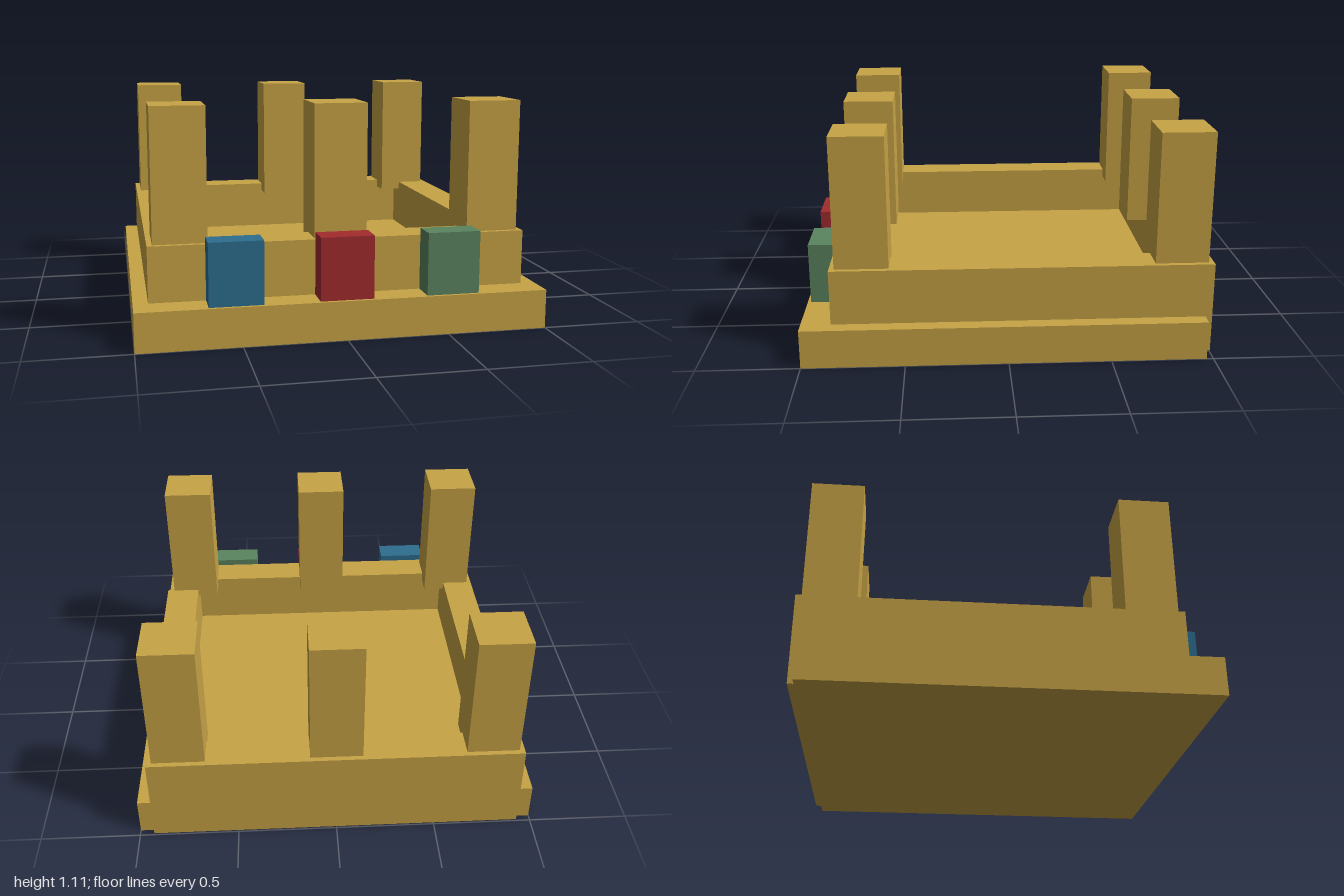
import * as THREE from 'three';

const mat = (name, color) => {
  const m = new THREE.MeshStandardMaterial({ color });
  m.name = name;
  return m;
};

export function createModel() {
  const group = new THREE.Group();
  group.name = 'pillaredTray';
  const gold = mat('gold', 0xc8a446);
  const blue = mat('blue', 0x2d6f8f);
  const red = mat('red', 0xa32b2e);
  const green = mat('green', 0x5a855f);

  // Box given by its lower and upper corners
  const box = (name, material, [x0, y0, z0], [x1, y1, z1]) => {
    const mesh = new THREE.Mesh(new THREE.BoxGeometry(x1 - x0, y1 - y0, z1 - z0), material);
    mesh.position.set((x0 + x1) / 2, (y0 + y1) / 2, (z0 + z1) / 2);
    mesh.name = name;
    group.add(mesh);
  };

  // Base slab, its top is the floor inside the wall
  box('base', gold, [-1, 0, -0.967], [1, 0.193, 1]);

  // Rectangular wall, set back so that it overhangs the rear of the base
  const rect = (target, x, z0, z1) => {
    target.moveTo(-x, -z1);
    target.lineTo(x, -z1);
    target.lineTo(x, -z0);
    target.lineTo(-x, -z0);
    target.closePath();
    return target;
  };
  const outline = rect(new THREE.Shape(), 0.928, -1, 0.855);
  outline.holes.push(rect(new THREE.Path(), 0.757, -0.83, 0.685));
  const wallGeometry = new THREE.ExtrudeGeometry(outline, { depth: 0.455, bevelEnabled: false });
  wallGeometry.rotateX(-Math.PI / 2);
  const wall = new THREE.Mesh(wallGeometry, gold);
  wall.position.y = 0.01;
  wall.name = 'wall';
  group.add(wall);

  // Two rows of three square posts, sunk a little into the wall
  const half = 0.13;
  for (const z of [-0.844, 0.7]) {
    for (const x of [-0.772, 0, 0.772]) {
      box('post', gold, [x - half, 0.422, z - half], [x + half, 1.113, z + half]);
    }
  }

  // Coloured blocks along the front ledge
  [[-0.527, blue, 'blueBlock'], [0, red, 'redBlock'], [0.525, green, 'greenBlock']].forEach(([x, m, name]) => {
    box(name, m, [x - half, 0.193, 0.855], [x + half, 0.5, 0.983]);
  });

  return group;
}
